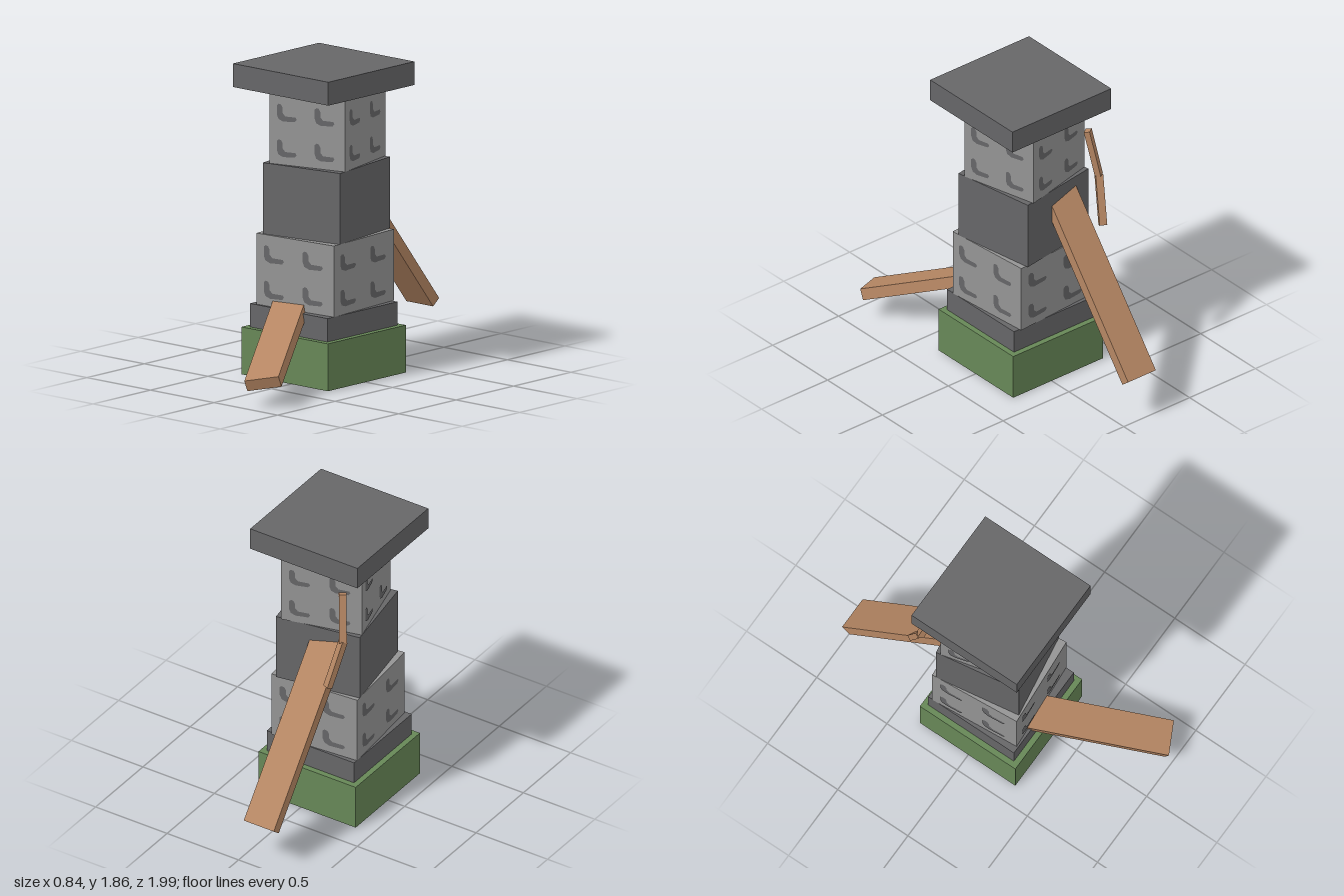
import * as THREE from 'three';

const mat = (name, color) => {
  const m = new THREE.MeshStandardMaterial({ color });
  m.name = name;
  return m;
};

export function createModel() {
  const tower = new THREE.Group();
  tower.name = 'tower';
  const darkStone = mat('dark stone', 0x666668);
  const lightStone = mat('light stone', 0x949494);
  const wood = mat('wood', 0xb58663);
  const grass = mat('grass', 0x678757);

  const CX = -0.046;
  function box(name, material, [w, h, d], [x, y, z], [rx, ry] = [0, 0]) {
    const mesh = new THREE.Mesh(new THREE.BoxGeometry(w, h, d), material);
    mesh.name = name;
    mesh.position.set(x, y, z);
    mesh.rotation.set(rx, ry, 0);
    tower.add(mesh);
    return mesh;
  }
  // Square storey from y0 to y1, turned about the vertical
  const storey = (name, material, size, y0, y1, z, turn = 0) =>
    box(name, material, [size, y1 - y0, size], [CX, (y0 + y1) / 2, z], [0, turn]);

  // Rounded L-shaped stone mark, in fractions of one tile
  const markPoints = [
    [0.2, 0.66], [0.25, 0.71], [0.31, 0.69], [0.35, 0.6], [0.35, 0.46], [0.42, 0.37],
    [0.69, 0.37], [0.72, 0.31], [0.67, 0.24], [0.36, 0.22], [0.24, 0.28], [0.2, 0.4],
  ];
  // Two by two marks on each of the four walls
  function addMarks(block, size, height) {
    const tw = size / 2, th = height / 2;
    const shape = new THREE.Shape(markPoints.map(([u, v]) => new THREE.Vector2(u * tw, v * th)));
    const geometry = new THREE.ShapeGeometry(shape);
    for (let side = 0; side < 4; side++) {
      const wall = new THREE.Group();
      wall.name = 'wallMarks';
      wall.rotation.y = side * Math.PI / 2;
      for (const x of [-tw, 0]) for (const y of [-th, 0]) {
        const mark = new THREE.Mesh(geometry, darkStone);
        mark.name = 'stoneMark';
        mark.position.set(x, y, size / 2 + 0.003);
        wall.add(mark);
      }
      block.add(wall);
    }
  }

  // Ground block and plinth, which shows through underneath
  storey('groundBlock', grass, 0.68, 0.002, 0.285, -0.005);
  storey('plinth', darkStone, 0.61, 0, 0.425, -0.005);

  // Twisting, narrowing storeys
  addMarks(storey('lowerStorey', lightStone, 0.572, 0.425, 0.85, -0.0175, 0.079), 0.572, 0.425);
  storey('middleStorey', darkStone, 0.537, 0.85, 1.275, -0.03, 0.159);
  addMarks(storey('upperStorey', lightStone, 0.5, 1.275, 1.7, -0.04, 0.243), 0.5, 0.425);

  // Flat roof slab, hovering just above the walls
  storey('roofSlab', darkStone, 0.75, 1.72, 1.86, -0.005);

  // Leaning planks
  box('frontPlank', wood, [0.21, 0.07, 0.95], [0.098, 0.31, 0.55], [0.394, 0.5]);
  box('backPlank', wood, [0.21, 0.067, 1.2], [-0.14, 0.74, -0.6], [-0.902, 0]);

  // Bent stick behind the upper storey
  const bend = [[-0.285, 1.6, -0.33], [-0.323, 1.31, -0.385], [-0.278, 1.03, -0.475]]
    .map((p) => new THREE.Vector3(...p));
  for (let i = 0; i < 2; i++) {
    const a = bend[i], b = bend[i + 1];
    const mid = a.clone().add(b).multiplyScalar(0.5);
    box('bentStick', wood, [0.045, 0.036, a.distanceTo(b) + 0.006], mid.toArray()).lookAt(b);
  }
  return tower;
}
